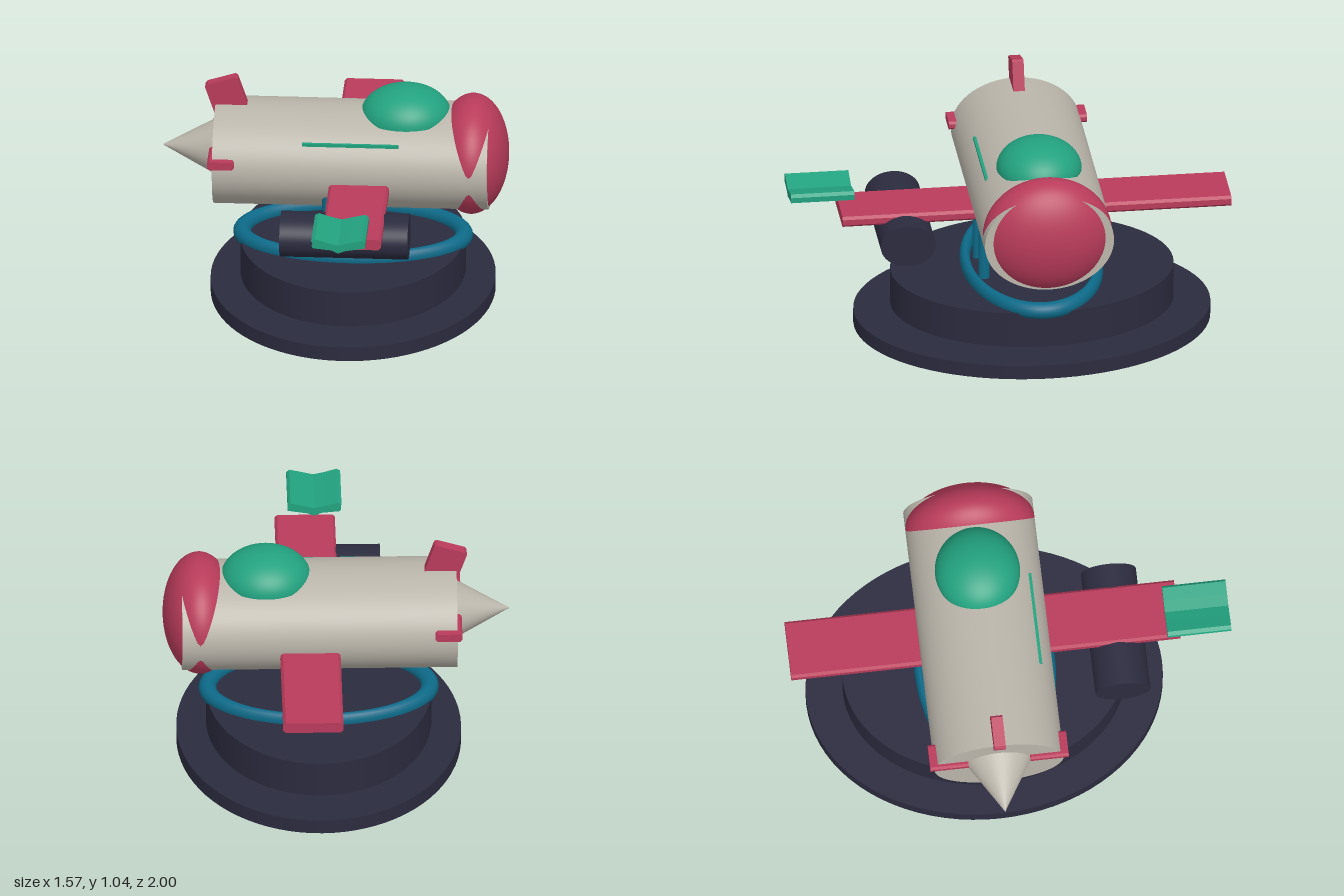
import * as THREE from 'three';

export function createModel() {
  const group = new THREE.Group();
  group.name = 'rocketPlaneOnStand';
  const mat = (name, color) => {
    const m = new THREE.MeshStandardMaterial({ color });
    m.name = name;
    return m;
  };
  const hull = mat('hull grey', 0xbab5aa);
  const red = mat('crimson', 0xb83b5a);
  const green = mat('green', 0x22a27f);
  const teal = mat('teal', 0x0d6a88);
  const dark = mat('dark navy', 0x2b2b3f);

  const add = (name, geo, material, pos = [0, 0, 0], scale = [1, 1, 1]) => {
    const mesh = new THREE.Mesh(geo, material);
    mesh.name = name;
    mesh.position.set(...pos);
    mesh.scale.set(...scale);
    group.add(mesh);
    return mesh;
  };

  // unit primitives, stretched into elliptical parts
  const disc = new THREE.CylinderGeometry(1, 1, 1, 80);
  const tubeX = new THREE.CylinderGeometry(1, 1, 1, 96).rotateZ(-Math.PI / 2);
  const coneX = new THREE.ConeGeometry(1, 1, 64).rotateZ(Math.PI / 2);
  const ball = new THREE.SphereGeometry(1, 72, 48);
  const dome = new THREE.SphereGeometry(1, 64, 24, 0, Math.PI * 2, 0, Math.PI / 2);

  // outline in x-y extruded from z0 to z1
  const prism = (pts, z0, z1) => {
    const shape = new THREE.Shape(pts.map(([x, y]) => new THREE.Vector2(x, y)));
    return new THREE.ExtrudeGeometry(shape, { depth: z1 - z0, bevelEnabled: false }).translate(0, 0, z0);
  };
  // rectangle with clipped corners
  const clipped = (x0, x1, y0, y1, c) => [
    [x0 + c, y0], [x1 - c, y0], [x1, y0 + c], [x1, y1 - c],
    [x1 - c, y1], [x0 + c, y1], [x0, y1 - c], [x0, y0 + c],
  ];

  const Z = -0.115; // centre line of the craft
  const X = 0.078;  // centre of the stand

  // stand
  add('basePlate', disc, dark, [X, 0.0335, -0.112], [0.644, 0.067, 0.81]);
  add('baseDrum', disc, dark, [X, 0.181, -0.112], [0.51, 0.168, 0.643]);
  const ring = new THREE.TorusGeometry(0.503, 0.04, 20, 96).rotateX(Math.PI / 2);
  add('standRing', ring, teal, [X, 0.275, -0.11], [1, 0.95, 0.59]);
  for (const x of [-0.029, 0.184]) {
    add('strut', disc, teal, [x, 0.35, 0.119], [0.021, 0.5, 0.025]);
    add('foot', ball, dark, [x, 0.1, 0.118], [0.029, 0.032, 0.063]);
  }

  // body
  add('fuselage', tubeX, hull, [0.0775, 0.67, Z], [1.245, 0.233, 0.294]);
  add('tailCone', coneX, hull, [-0.665, 0.686, Z], [0.24, 0.124, 0.143]);
  add('nose', ball, red, [0.618, 0.68, Z], [0.166, 0.27, 0.2936]);
  add('canopy', dome, green, [0.317, 0.865, Z], [0.205, 0.137, 0.193]);
  add('canopyFloor', new THREE.CircleGeometry(1, 64).rotateX(Math.PI / 2), green,
    [0.317, 0.865, Z], [0.205, 1, 0.193]);
  add('sideStripe', new THREE.BoxGeometry(0.437, 0.015, 0.014), green, [0.0785, 0.808, 0.121]);

  // wing spanning both sides
  add('wing', prism(clipped(-0.015, 0.258, 0.587, 0.637, 0.012), -1, 0.772), red);

  // tail fins
  const topFin = [[-0.51, 0.745], [-0.36, 0.797], [-0.402, 0.905], [-0.445, 1.03],
    [-0.455, 1.037], [-0.582, 0.998], [-0.592, 0.985]];
  add('topFin', prism(topFin, Z - 0.026, Z + 0.026), red);
  const sideFin = clipped(-0.566, -0.444, 0.705, 0.743, 0.01);
  add('leftFin', prism(sideFin, 0.026, 0.2), red);
  add('rightFin', prism(sideFin, -0.43, -0.256), red);

  // pod beside the body
  add('sidePod', tubeX, dark, [0.0775, 0.53, 0.487], [0.581, 0.099, 0.125]);

  // bent plate off the wing tip
  const bent = [[-0.044, 0.728], [-0.027, 0.737], [0.03, 0.72], [0.078, 0.709], [0.13, 0.722],
    [0.187, 0.735], [0.2, 0.722], [0.2, 0.697], [0.11, 0.682], [0.078, 0.669],
    [0.048, 0.684], [-0.036, 0.692], [-0.042, 0.702], [-0.036, 0.715]].reverse();
  add('tipPlate', prism(bent, 0.711, 1), green);

  return group;
}
